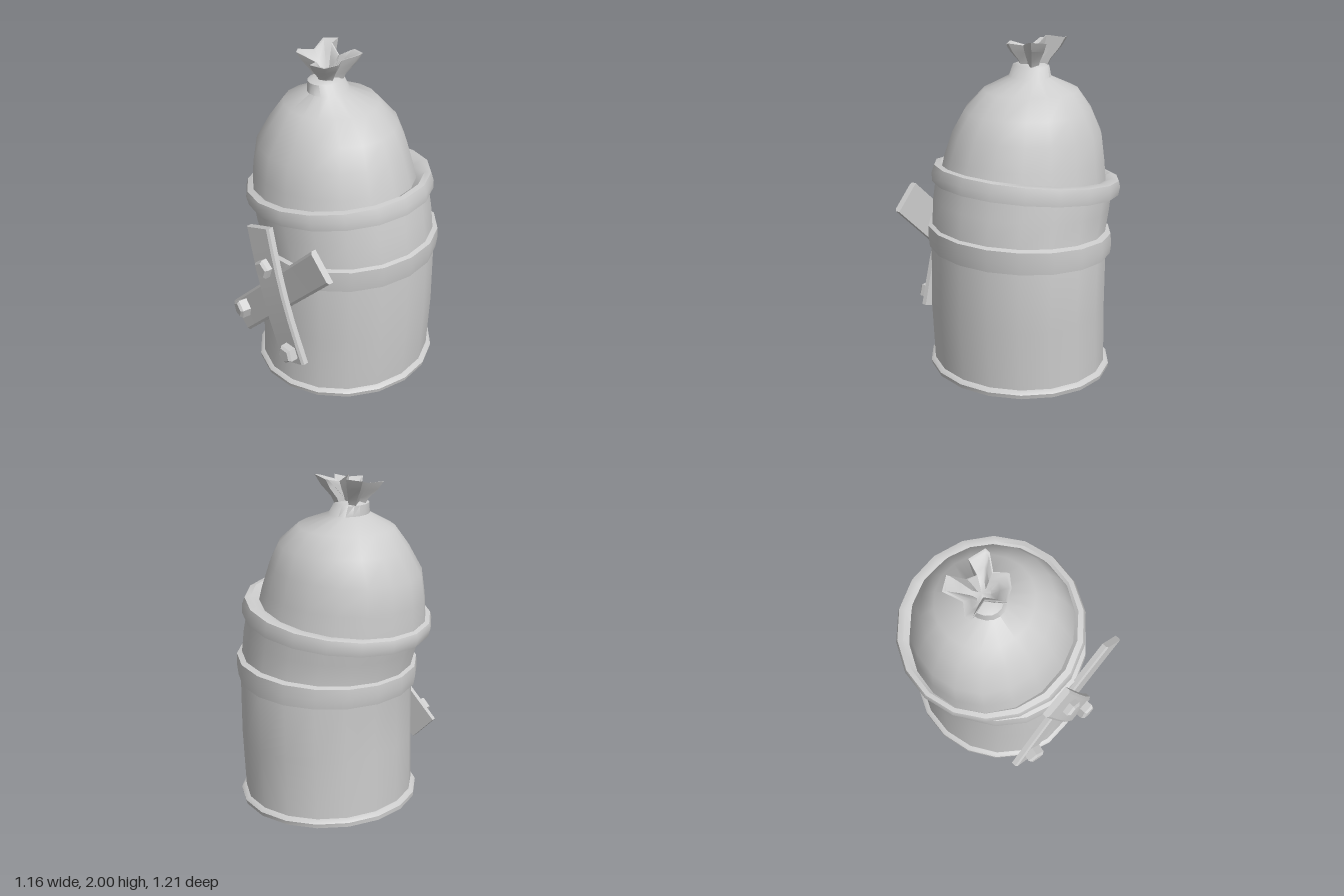
import * as THREE from 'three';
import { toCreasedNormals } from 'three/addons/utils/BufferGeometryUtils.js';

const SIDES = 18;
const grey = new THREE.MeshStandardMaterial({ color: 0xcccccc, side: THREE.DoubleSide });

// Skins a stack of closed rings (arrays of [x, y, z]); ends may be capped
function loft(name, rings, { capBottom = false, capTop = false, crease = 0.75 } = {}) {
  const n = rings[0].length, pos = rings.flat(2), idx = [];
  for (let j = 0; j < rings.length - 1; j++) {
    for (let i = 0; i < n; i++) {
      const k = (i + 1) % n, a = j * n + i, b = j * n + k, c = a + n, d = b + n;
      idx.push(a, c, b, b, c, d);
    }
  }
  const cap = (ring, base, up) => {
    const centre = pos.length / 3;
    for (let q = 0; q < 3; q++) pos.push(ring.reduce((s, p) => s + p[q], 0) / n);
    for (let i = 0; i < n; i++) {
      const a = base + i, b = base + (i + 1) % n;
      idx.push(centre, up ? b : a, up ? a : b);
    }
  };
  if (capBottom) cap(rings[0], 0, false);
  if (capTop) cap(rings.at(-1), (rings.length - 1) * n, true);
  const g = new THREE.BufferGeometry();
  g.setAttribute('position', new THREE.Float32BufferAttribute(pos, 3));
  g.setIndex(idx);
  const mesh = new THREE.Mesh(toCreasedNormals(g, crease), grey);
  mesh.name = name;
  return mesh;
}

// Tilted oval ring: left x, left y, right x, right y, front z, back z
function oval([xl, yl, xr, yr, zf, zb], wobble = 0) {
  return Array.from({ length: SIDES }, (_, i) => {
    const a = (i / SIDES) * Math.PI * 2;
    const w = 1 + wobble * Math.sin(3 * a + 0.6);
    const c = Math.cos(a) * w, s = Math.sin(a) * w;
    return [
      (xl + xr) / 2 + c * (xr - xl) / 2,
      (yl + yr) / 2 + Math.cos(a) * (yr - yl) / 2,
      (zf + zb) / 2 + s * (zf - zb) / 2,
    ];
  });
}
const ovals = (rows, wobble) => rows.map((r) => oval(r, wobble));

// Bent board running between two points, with chamfered edges
function plank(name, from, to, width, bow) {
  const a = new THREE.Vector3(...from), b = new THREE.Vector3(...to);
  const dir = b.clone().sub(a).normalize();
  const side = new THREE.Vector3(0, 0, 1).cross(dir).normalize();
  const t = 0.02, h = width / 2;
  const section = [[-h, -t], [-h, t * 0.5], [-h + 0.015, t], [h - 0.015, t], [h, t * 0.5], [h, -t]];
  const rings = [];
  for (let j = 0; j <= 6; j++) {
    const u = j / 6, p = a.clone().lerp(b, u);
    p.z += bow * Math.sin(u * Math.PI);
    rings.push(section.map(([s, d]) => [p.x + side.x * s, p.y + side.y * s, p.z + d]));
  }
  return loft(name, rings, { capBottom: true, capTop: true, crease: 0.5 });
}

// Five-sided bolt with a chamfered head
function bolt(x, y, z, turn, lean) {
  const ring = (r, d) => Array.from({ length: 5 }, (_, i) => {
    const a = (i / 5) * Math.PI * 2;
    return [r * Math.cos(a), d, r * Math.sin(a)];
  });
  const b = loft('bolt', [ring(0.06, -0.03), ring(0.06, 0.02), ring(0.045, 0.035)],
    { capBottom: true, capTop: true, crease: 0.2 });
  b.rotation.set(Math.PI / 2, turn, lean);
  b.position.set(x, y, z);
  return b;
}

export function createModel() {
  const model = new THREE.Group();
  model.name = 'stuffedBin';

  // Bin wall, leaning a little towards its right at the top
  model.add(loft('binWall', ovals([
    [-0.46, 0.02, 0.54, 0.02, 0.49, -0.58],
    [-0.455, 0.4, 0.565, 0.4, 0.49, -0.58],
    [-0.45, 0.78, 0.56, 0.82, 0.485, -0.585],
    [-0.46, 0.86, 0.555, 0.92, 0.475, -0.57],
    [-0.49, 0.98, 0.535, 1.07, 0.49, -0.575],
    [-0.52, 1.1, 0.5, 1.23, 0.49, -0.57],
  ])));
  model.add(loft('baseRim', ovals([
    [-0.49, 0, 0.565, 0, 0.51, -0.605],
    [-0.49, 0.025, 0.57, 0.025, 0.515, -0.61],
    [-0.475, 0.04, 0.555, 0.04, 0.5, -0.595],
    [-0.45, 0.045, 0.53, 0.045, 0.48, -0.57],
  ]), { capBottom: true }));

  // Raised hoop round the middle
  model.add(loft('middleBand', ovals([
    [-0.44, 0.735, 0.55, 0.775, 0.48, -0.58],
    [-0.48, 0.735, 0.57, 0.775, 0.5, -0.605],
    [-0.49, 0.79, 0.58, 0.84, 0.505, -0.61],
    [-0.485, 0.85, 0.58, 0.91, 0.5, -0.605],
    [-0.45, 0.86, 0.54, 0.925, 0.46, -0.56],
  ])));

  // Slanted rolled lip
  model.add(loft('topRim', ovals([
    [-0.5, 1.06, 0.49, 1.19, 0.47, -0.56],
    [-0.57, 1.05, 0.54, 1.18, 0.505, -0.6],
    [-0.585, 1.1, 0.54, 1.23, 0.515, -0.605],
    [-0.575, 1.13, 0.52, 1.28, 0.505, -0.595],
    [-0.55, 1.14, 0.49, 1.285, 0.47, -0.55],
    [-0.52, 1.12, 0.45, 1.25, 0.43, -0.49],
  ])));

  // Bulging sack gathered into a neck
  model.add(loft('sack', ovals([
    [-0.54, 1.1, 0.475, 1.22, 0.46, -0.5],
    [-0.535, 1.26, 0.45, 1.32, 0.44, -0.48],
    [-0.52, 1.42, 0.4, 1.46, 0.4, -0.45],
    [-0.44, 1.57, 0.335, 1.58, 0.33, -0.4],
    [-0.36, 1.685, 0.21, 1.69, 0.24, -0.31],
    [-0.2, 1.76, 0.03, 1.76, 0.11, -0.15],
    [-0.195, 1.82, -0.005, 1.82, 0.1, -0.13],
    [-0.17, 1.835, -0.03, 1.835, 0.06, -0.1],
  ], 0.012), { capTop: true, crease: 0.9 }));

  // Crumpled mouth of the sack: star outline flaring up from the knot
  const star = [
    [0.05, 1.96, 0.03], [0, 1.94, 0.09], [-0.08, 1.95, 0.13], [-0.14, 1.92, 0.03],
    [-0.27, 1.95, 0.06], [-0.29, 1.955, 0.03], [-0.23, 1.95, -0.04], [-0.27, 1.98, -0.15],
    [-0.19, 1.99, -0.195], [-0.14, 2.0, -0.1], [-0.07, 1.95, -0.09], [-0.04, 1.97, -0.18],
    [0.06, 1.985, -0.15], [0.06, 1.98, -0.12], [0, 1.95, -0.04],
  ];
  const knot = [-0.1, 1.82, -0.025];
  const flare = (s, up, y0) => star.map(([x, y, z]) => [
    knot[0] + (x - knot[0]) * s, y0 + (y - y0) * up, knot[2] + (z - knot[2]) * s,
  ]);
  model.add(loft('sackMouth', [
    flare(0.45, 0, 1.82), flare(0.55, 0.25, 1.82), flare(0.83, 0.65, 1.82), flare(1, 1, 1.82),
    flare(0.9, 0.98, 1.82), flare(0.6, 0.6, 1.84), flare(0.3, 0.15, 1.84),
  ], { capTop: true, crease: 0.9 }));

  // Crossed boards bolted to the front
  const patch = new THREE.Group();
  patch.name = 'crossedPlanks';
  patch.add(
    plank('lowerPlank', [-0.32, 0.3, 0.49], [0.435, 1.03, 0.515], 0.205, -0.005),
    plank('upperPlank', [-0.08, 1.065, 0.53], [0.2, 0.25, 0.525], 0.21, 0.02),
    bolt(0.01, 0.845, 0.575, 0.3, 0),
    bolt(-0.26, 0.405, 0.54, 0.3, 0.25),
    bolt(0.2, 0.335, 0.575, 0.9, 0),
  );
  model.add(patch);
  return model;
}
